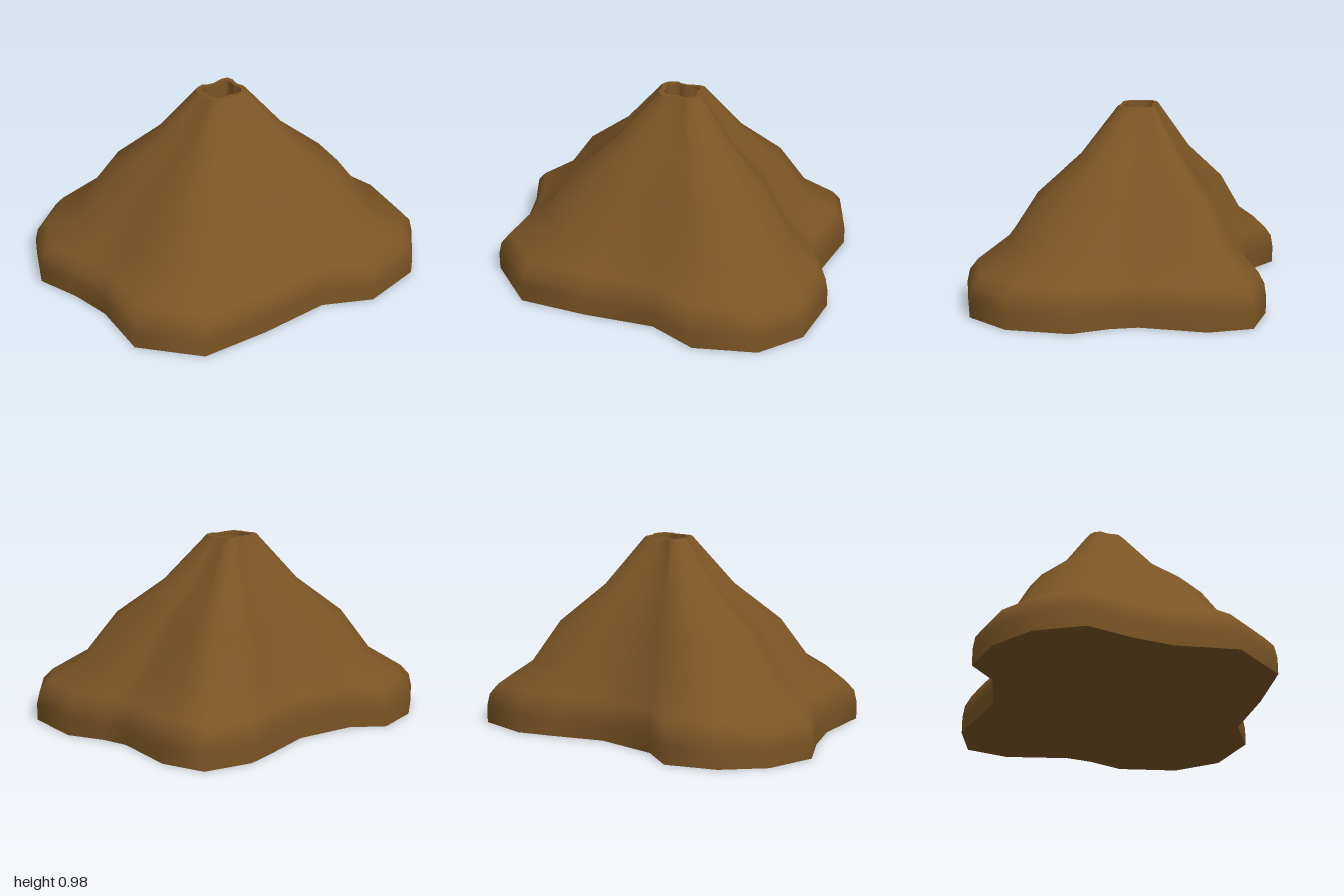
import * as THREE from 'three';

// Lobed footprint as [x, z], running clockwise seen from above
const OUTLINE = [
  [-0.08, -0.98], [0.14, -0.9], [0.38, -0.65], [0.51, -0.59], [0.71, -0.545], [0.94, -0.315],
  [0.995, -0.05], [0.85, 0.245], [0.605, 0.37], [0.385, 0.67], [0.15, 0.94], [-0.21, 0.975],
  [-0.45, 0.765], [-0.65, 0.67], [-0.875, 0.6], [-1, 0.37], [-1, 0.12], [-0.895, -0.125],
  [-0.705, -0.175], [-0.475, -0.395], [-0.365, -0.65], [-0.285, -0.82],
];
// The footprint shrinks towards this vertical axis
const AXIS = [-0.06, -0.017];

// Surface through scaled copies of the footprint; profile entries are [height, scale]
function loft(profile) {
  const n = OUTLINE.length;
  const positions = [];
  const index = [];
  for (const [y, s] of profile) {
    for (const [x, z] of OUTLINE) {
      positions.push(AXIS[0] + (x - AXIS[0]) * s, y, AXIS[1] + (z - AXIS[1]) * s);
    }
  }
  for (let r = 0; r < profile.length - 1; r++) {
    for (let i = 0; i < n; i++) {
      const j = (i + 1) % n;
      const a = r * n + i, b = r * n + j, c = a + n, d = b + n;
      index.push(a, c, b, b, c, d);
    }
  }
  const geometry = new THREE.BufferGeometry();
  geometry.setAttribute('position', new THREE.Float32BufferAttribute(positions, 3));
  geometry.setIndex(index);
  geometry.computeVertexNormals();
  return geometry;
}

export function createModel() {
  const group = new THREE.Group();
  group.name = 'volcano';
  const earth = new THREE.MeshStandardMaterial({ color: 0x7a5424 });

  const parts = {
    // Rounded foot, then the wavy mountainside up to the rim
    slope: [[0, 1], [0.09, 1], [0.155, 0.985], [0.207, 0.938], [0.325, 0.75], [0.54, 0.592], [0.73, 0.345], [0.975, 0.128]],
    craterRim: [[0.975, 0.128], [0.975, 0.1]],
    craterWall: [[0.975, 0.1], [0.82, 0.09]],
  };
  for (const [name, profile] of Object.entries(parts)) {
    const mesh = new THREE.Mesh(loft(profile), earth);
    mesh.name = name;
    group.add(mesh);
  }

  // Flat caps: the crater floor faces up, the underside faces down
  const caps = { craterFloor: [0.82, 0.09, -1], underside: [0, 1, 1] };
  for (const [name, [y, s, turn]] of Object.entries(caps)) {
    const points = OUTLINE.map(([x, z]) => new THREE.Vector2(
      AXIS[0] + (x - AXIS[0]) * s, turn * (AXIS[1] + (z - AXIS[1]) * s)));
    const geometry = new THREE.ShapeGeometry(new THREE.Shape(points));
    geometry.rotateX(turn * Math.PI / 2);
    const mesh = new THREE.Mesh(geometry, earth);
    mesh.name = name;
    mesh.position.y = y;
    group.add(mesh);
  }
  return group;
}
